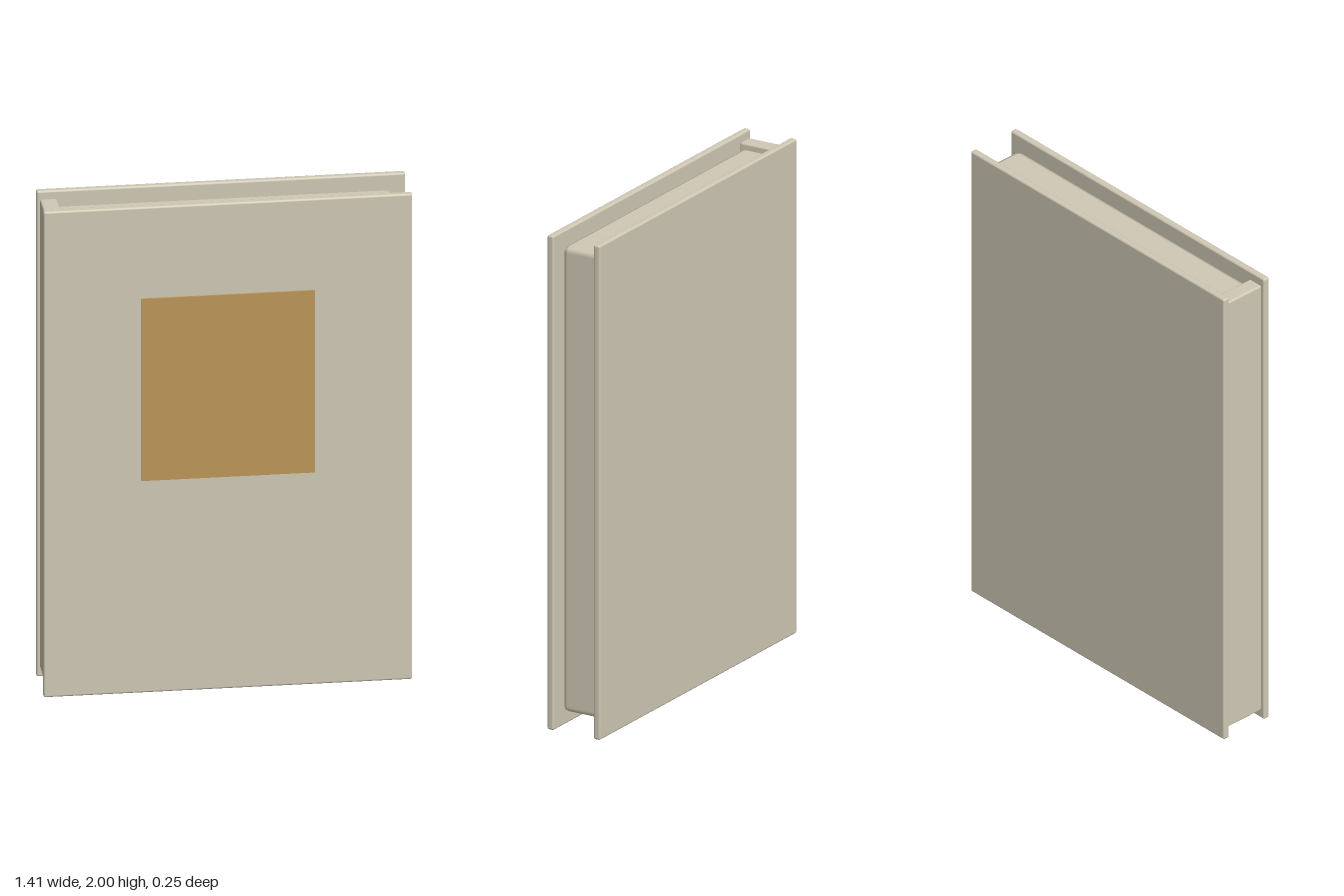
import * as THREE from 'three';
import { RoundedBoxGeometry } from 'three/addons/geometries/RoundedBoxGeometry.js';

export function createModel() {
  const book = new THREE.Group();
  book.name = 'book';

  const material = (name, color) => {
    const m = new THREE.MeshStandardMaterial({ color });
    m.name = name;
    return m;
  };
  const cream = material('cream', 0xd0c9b5);
  const tan = material('tan', 0xbd9859);

  const add = (name, geometry, mat, x, y, z) => {
    const mesh = new THREE.Mesh(geometry, mat);
    mesh.name = name;
    mesh.position.set(x, y, z);
    book.add(mesh);
  };

  const midZ = -0.0065; // middle of the book; the label makes the front deeper

  // Two cover boards with softened edges
  for (const [name, side] of [['frontCover', 1], ['backCover', -1]]) {
    add(name, new RoundedBoxGeometry(1.414, 2, 0.029, 2, 0.008), cream, 0, 1, midZ + side * 0.104);
  }

  // Spine bridging the covers on the right-hand side
  add('spine', new RoundedBoxGeometry(0.065, 1.93, 0.181, 2, 0.008), cream, -0.662, 1.003, midZ);

  // Page block with chamfer-like rounded edges
  add('pages', new RoundedBoxGeometry(1.3, 1.885, 0.168, 1, 0.025), cream, 0.005, 1.003, midZ);

  // Thin cover label
  add('label', new THREE.BoxGeometry(0.664, 0.75, 0.007), tan, 0, 1.253, 0.1215);

  return book;
}
